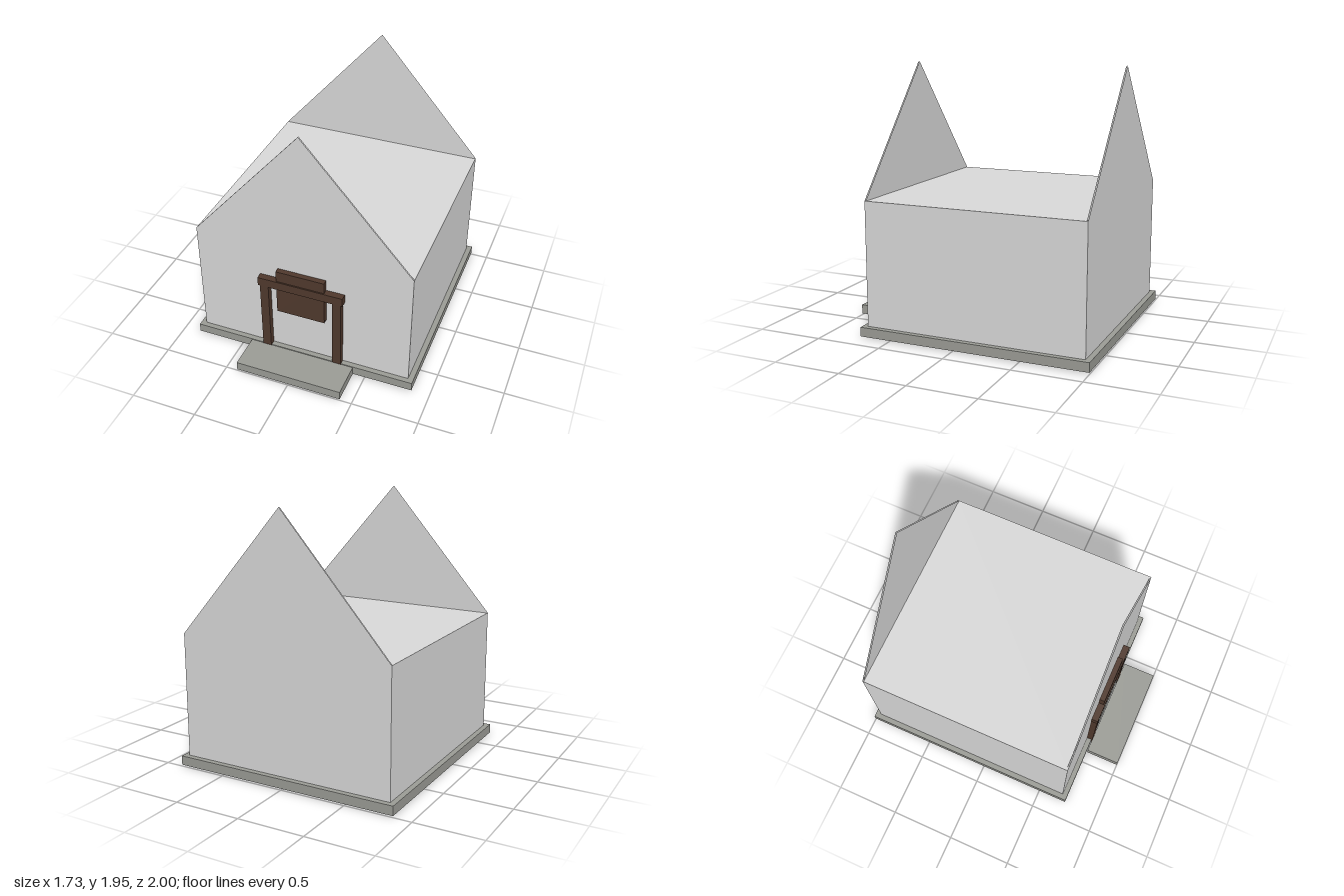
import * as THREE from 'three';

export function createModel() {
  const model = new THREE.Group();
  const plaster = new THREE.MeshStandardMaterial({ name: 'pale grey wall', color: 0xd9d9d9, side: THREE.DoubleSide });
  const stone = new THREE.MeshStandardMaterial({ name: 'grey stone', color: 0x9b9c96 });
  const wood = new THREE.MeshStandardMaterial({ name: 'dark brown wood', color: 0x50392d });

  // Box given by its extents on each axis
  const block = (name, material, [x0, x1], [y0, y1], [z0, z1]) => {
    const mesh = new THREE.Mesh(new THREE.BoxGeometry(x1 - x0, y1 - y0, z1 - z0), material);
    mesh.position.set((x0 + x1) / 2, (y0 + y1) / 2, (z0 + z1) / 2);
    mesh.name = name;
    model.add(mesh);
  };

  // Foundation and doorstep
  block('foundation', stone, [-0.865, 0.865], [0.011, 0.08], [-1, 0.729]);
  block('doorstep', stone, [-0.41, 0.41], [0.011, 0.08], [0.735, 1]);

  // House body with a flat top, running down through the foundation to its underside
  block('houseBody', plaster, [-0.825, 0.825], [0.009, 1.003], [-0.96, 0.69]);

  // Gables on the front and back walls, each a pair of thin sheets
  const triangle = new THREE.ShapeGeometry(new THREE.Shape([
    new THREE.Vector2(-0.825, 1.003),
    new THREE.Vector2(0.825, 1.003),
    new THREE.Vector2(0, 1.945),
  ]));
  for (const [name, outerZ, innerZ] of [['frontGable', 0.69, 0.68], ['backGable', -0.96, -0.95]]) {
    const gable = new THREE.Group();
    gable.name = name;
    for (const z of [outerZ, innerZ]) {
      const sheet = new THREE.Mesh(triangle, plaster);
      sheet.position.z = z;
      sheet.name = name + 'Sheet';
      gable.add(sheet);
    }
    model.add(gable);
  }

  // Timber entrance frame with a blank board
  block('leftPost', wood, [0.248, 0.314], [0, 0.66], [0.68, 0.737]);
  block('rightPost', wood, [-0.314, -0.248], [0, 0.66], [0.68, 0.737]);
  block('lintel', wood, [-0.328, 0.328], [0.655, 0.724], [0.68, 0.741]);
  block('board', wood, [-0.186, 0.186], [0.443, 0.812], [0.68, 0.731]);

  return model;
}
